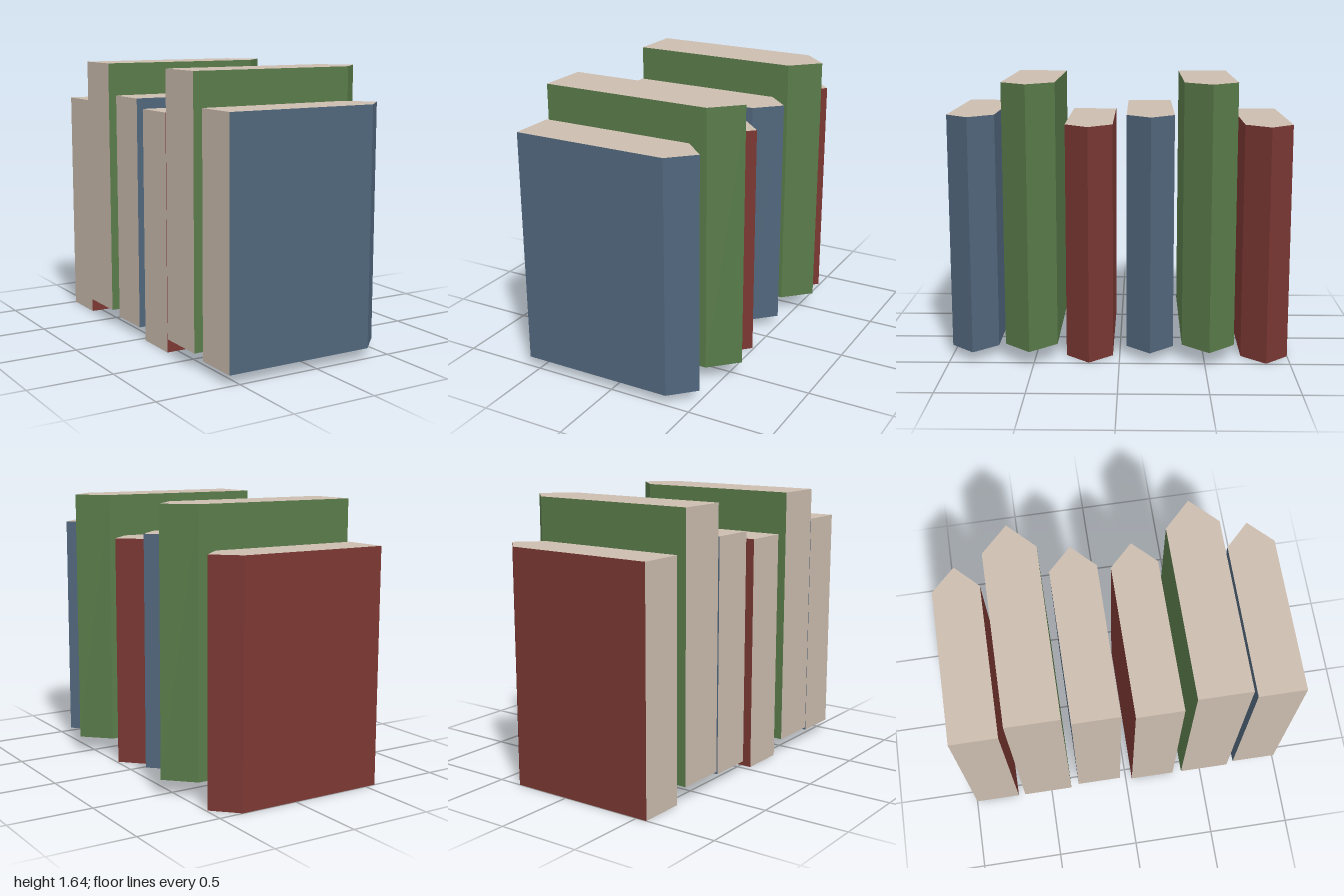
import * as THREE from 'three';

// Flat-faced geometry from a list of convex polygons (corners counter-clockwise)
function facets(polygons) {
  const positions = [];
  for (const p of polygons) {
    for (let i = 1; i < p.length - 1; i++) positions.push(...p[0], ...p[i], ...p[i + 1]);
  }
  const geometry = new THREE.BufferGeometry();
  geometry.setAttribute('position', new THREE.Float32BufferAttribute(positions, 3));
  geometry.computeVertexNormals();
  return geometry;
}

const paint = (color) => new THREE.MeshStandardMaterial({ color, flatShading: true });

// Upright book: five-sided plan with a pointed spine towards +x
function makeBook({ name, back, hinge, spine, bottom, top, thickness }, coverMaterial, pageMaterial) {
  const h = thickness / 2;
  const plan = [[back, h], [hinge, h], [spine, 0], [hinge, -h], [back, -h]];
  const ring = (y) => plan.map(([x, z]) => [x, y, z]);
  const low = ring(bottom), high = ring(top);
  const wall = (i) => {
    const j = (i + 1) % plan.length;
    return [low[i], low[j], high[j], high[i]];
  };

  const book = new THREE.Group();
  book.name = name;
  // Cover wraps both boards and the spine
  const cover = new THREE.Mesh(facets([0, 1, 2, 3].map(wall)), coverMaterial);
  cover.name = 'cover';
  // Pages show at the top, bottom and fore-edge
  const pages = new THREE.Mesh(facets([high, [...low].reverse(), wall(4)]), pageMaterial);
  pages.name = 'pages';
  book.add(cover, pages);
  return book;
}

export function createModel() {
  const model = new THREE.Group();
  model.name = 'bookRow';
  const pageMaterial = paint(0xcbbcae);

  const kinds = [
    { name: 'blueBook', color: 0x50667c, back: -0.565, hinge: 0.355, spine: 0.494, bottom: 0.06, top: 1.445, thickness: 0.277, z: 0.861 },
    { name: 'greenBook', color: 0x587a49, back: -0.59, hinge: 0.432, spine: 0.587, bottom: 0.095, top: 1.637, thickness: 0.307, z: 0.519 },
    { name: 'redBook', color: 0x7a3732, back: -0.567, hinge: 0.353, spine: 0.491, bottom: 0, top: 1.39, thickness: 0.277, z: 0.179 },
  ];

  // The same three books stand twice along z
  for (const kind of kinds) {
    const coverMaterial = paint(kind.color);
    for (const shift of [0, -1.04]) {
      const book = makeBook(kind, coverMaterial, pageMaterial);
      book.position.z = kind.z + shift;
      model.add(book);
    }
  }
  return model;
}
